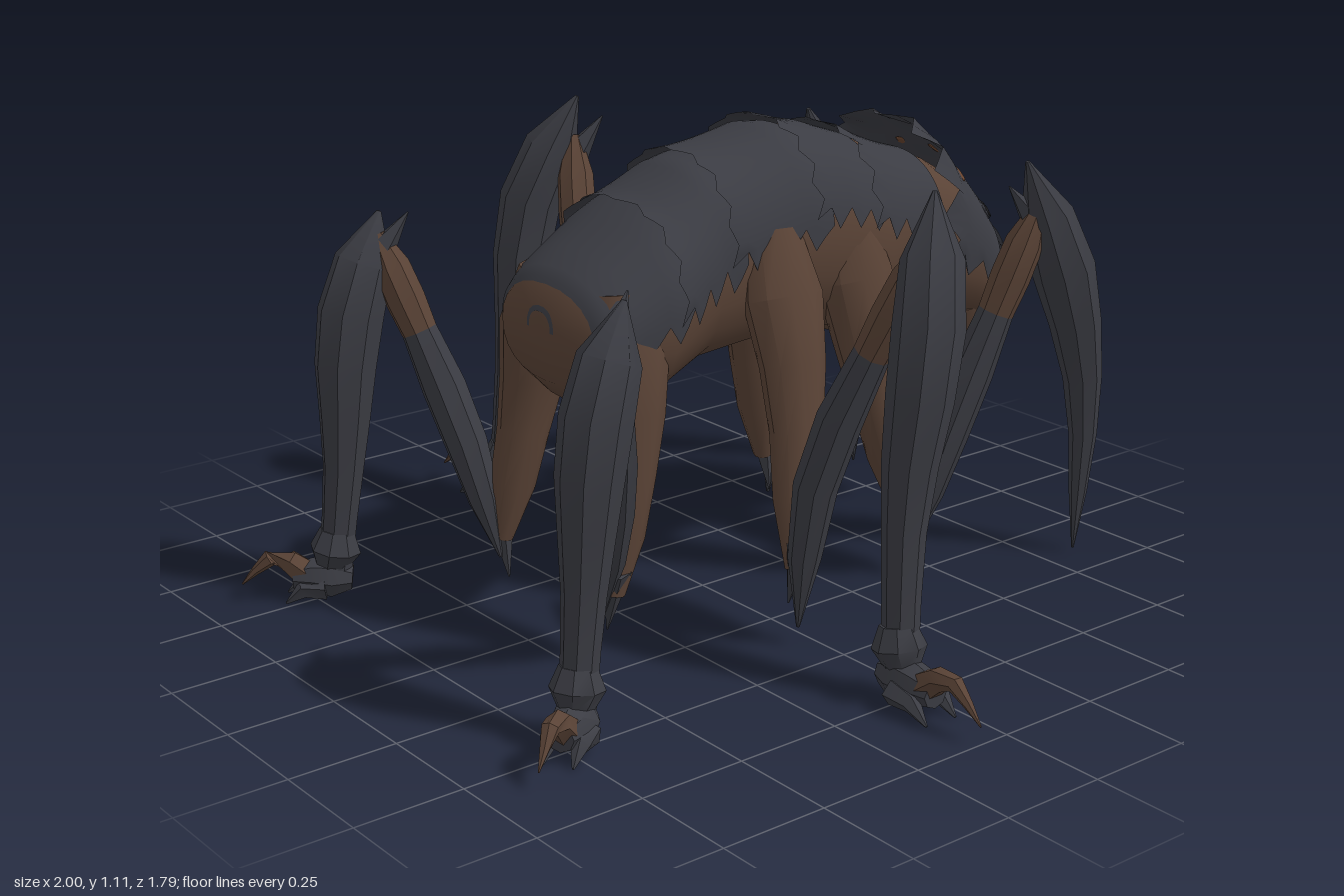
import * as THREE from 'three';
import { toCreasedNormals } from 'three/addons/utils/BufferGeometryUtils.js';

const V = (x, y, z) => new THREE.Vector3(x, y, z);
const Z = V(0, 0, 1);

export function createModel() {
  const root = new THREE.Group();
  const paint = (name, color, side = THREE.FrontSide) => {
    const m = new THREE.MeshStandardMaterial({ color, side });
    m.name = name;
    return m;
  };
  const shell = paint('charcoal shell', 0x3b3c43, THREE.DoubleSide);
  const hide = paint('brown hide', 0x5a4336);
  const eyeBlack = paint('eye black', 0x1d1d21);
  const rust = paint('rust patch', 0x69442f);

  function add(parent, name, geo, mat) {
    const mesh = new THREE.Mesh(geo, mat);
    mesh.name = name;
    parent.add(mesh);
    return mesh;
  }

  function build(pos, idx, crease) {
    const g = new THREE.BufferGeometry();
    g.setAttribute('position', new THREE.Float32BufferAttribute(pos.flatMap(p => [p.x, p.y, p.z]), 3));
    g.setIndex(idx);
    return toCreasedNormals(g, crease);
  }

  // Closed skin over equal rings that run counterclockwise about the path
  function loft(rings, crease = 0.7) {
    const n = rings[0].length, idx = [];
    for (let i = 0; i < rings.length - 1; i++) {
      for (let j = 0; j < n; j++) {
        const a = i * n + j, b = i * n + (j + 1) % n;
        idx.push(a, b, b + n, a, b + n, a + n);
      }
    }
    const last = (rings.length - 1) * n;
    for (let j = 1; j < n - 1; j++) idx.push(0, j + 1, j, last, last + j, last + j + 1);
    return build(rings.flat(), idx, crease);
  }

  // Limb along a smooth path, with radii spread evenly from start to end;
  // deep widens it along z
  function limb(points, radii, { sides = 8, deep = 1, from = 0, to = 1 } = {}) {
    const curve = new THREE.CatmullRomCurve3(points);
    return loft(radii.map((r, i) => {
      const k = from + (to - from) * i / (radii.length - 1);
      const c = curve.getPointAt(k), t = curve.getTangentAt(k);
      const n = Z.clone().addScaledVector(t, -t.z).normalize();
      const b = t.clone().cross(n);
      const depth = r * (1 + (deep - 1) * (1 - k));
      return Array.from({ length: sides }, (_, j) => {
        const a = j / sides * Math.PI * 2;
        return c.clone().addScaledVector(n, Math.cos(a) * depth).addScaledVector(b, Math.sin(a) * r);
      });
    }));
  }

  // Body sections: z, bottom, top, half width
  const sections = [
    [0.452, 0.70, 0.76, 0.03], [0.44, 0.61, 0.82, 0.16], [0.38, 0.55, 0.865, 0.21], [0.25, 0.55, 0.95, 0.232],
    [0.1, 0.60, 1.04, 0.2], [-0.15, 0.62, 1.095, 0.215], [-0.28, 0.60, 1.08, 0.22],
    [-0.4, 0.57, 1.04, 0.205], [-0.52, 0.58, 1.0, 0.18], [-0.62, 0.57, 0.97, 0.188], [-0.72, 0.55, 0.91, 0.178],
    [-0.8, 0.53, 0.82, 0.155], [-0.85, 0.52, 0.73, 0.12], [-0.885, 0.57, 0.61, 0.02],
  ];
  // Point on the body; a is the angle from the top, off the height above the skin
  function skin(z, a, off = 0) {
    let i = 0;
    while (i < sections.length - 2 && z < sections[i + 1][0]) i++;
    const s = sections[i], e = sections[i + 1];
    const k = THREE.MathUtils.clamp((z - s[0]) / (e[0] - s[0]), 0, 1);
    const [bottom, top, w] = [1, 2, 3].map(c => s[c] + (e[c] - s[c]) * k);
    const bend = v => Math.sign(v) * Math.abs(v) ** 0.88;
    return V(bend(Math.sin(a)) * (w + off), (bottom + top) / 2 + bend(Math.cos(a)) * ((top - bottom) / 2 + off), z);
  }
  const ring = z => Array.from({ length: 24 }, (_, j) => skin(z, j / 24 * Math.PI * 2));
  add(root, 'body', loft(sections.map(s => ring(s[0])), 1), hide);

  // Overlapping back plates with raised, toothed trailing edges
  function plate(name, z0, z1, phi, lift, tooth) {
    const nu = 10, nv = 32, pos = [], idx = [];
    for (let i = 0; i <= nu; i++) {
      for (let j = 0; j <= nv; j++) {
        const u = i / nu, v = j / nv * 2 - 1;
        const a = v * (phi + (Math.abs(v) === 1 ? 0.09 * (i % 3 - 1) : 0));
        const p = skin(z0 + (z1 - z0) * u, a, 0.009 + lift * u ** 3 * (1 - v * v * 0.6));
        if (i === nu) p.z += tooth * Math.abs((j % 4) / 2 - 1);
        pos.push(p);
      }
    }
    for (let i = 0; i < nu; i++) {
      for (let j = 0; j < nv; j++) {
        const a = i * (nv + 1) + j, b = a + nv + 1;
        idx.push(a, b, a + 1, b, b + 1, a + 1);
      }
    }
    add(root, name, build(pos, idx, 0.8), shell);
  }
  plate('rumpPlate', 0.2, 0.452, 1.62, 0, 0);
  plate('loinPlate', 0.04, 0.23, 1.6, 0.016, 0.02);
  plate('middlePlate', -0.2, 0.07, 1.5, 0.018, 0.02);
  plate('shoulderPlate', -0.38, -0.17, 1.35, 0.02, 0.025);
  plate('neckPlate', -0.58, -0.35, 1.4, 0.02, 0.025);
  plate('headPlate', -0.885, -0.58, 1.7, 0.085, 0.06);

  // Flat details laid on the skin
  function decal(name, z, a, off, sx, sy, mat, tilt = 0) {
    const p = skin(z, a, off);
    const alongBody = skin(z + 0.01, a).sub(skin(z - 0.01, a));
    const normal = alongBody.cross(skin(z, a + 0.02).sub(skin(z, a - 0.02))).normalize();
    const m = add(root, name, new THREE.SphereGeometry(1, 8, 4), mat);
    m.scale.set(sx, sy, 0.0045);
    m.position.copy(p);
    m.lookAt(p.clone().add(normal));
    m.rotateZ(tilt);
  }
  for (const s of [-1, 1]) {
    for (const [z, a, size] of [[-0.77, 0.75, 0.034], [-0.825, 0.95, 0.026], [-0.855, 0.75, 0.02]]) {
      decal('brow', z + 0.012, s * a, 0.015, size * 1.5, size * 0.75, shell, s * 0.4);
      decal('eye', z, s * a, 0.02, size, size * 0.42, eyeBlack, s * 0.4);
    }
    decal('crestPatch', -0.67, s * 0.22, 0.043, 0.015, 0.03, rust);
    decal('crestPatch', -0.64, s * 0.75, 0.045, 0.014, 0.026, rust);
  }

  // Tapering lower jaw, stacked upwards, with a row of teeth
  const jaw = [[0.38, -0.86, -0.83, 0.02], [0.43, -0.88, -0.77, 0.05], [0.5, -0.888, -0.68, 0.09], [0.58, -0.875, -0.61, 0.12]];
  add(root, 'jaw', loft(jaw.map(([y, front, back, w]) => Array.from({ length: 12 }, (_, j) => {
    const a = j / 12 * Math.PI * 2;
    return V(Math.sin(a) * w, y, (front + back) / 2 + Math.cos(a) * (back - front) / 2);
  }))), hide);
  for (let i = -3; i <= 3; i++) {
    const a = i * 0.38;
    const tooth = add(root, 'tooth', new THREE.ConeGeometry(0.014, 0.05, 4), i % 2 ? shell : rust);
    tooth.position.set(Math.sin(a) * 0.1, 0.52, -0.78 - Math.cos(a) * 0.1);
    tooth.rotation.x = Math.PI;
  }

  // Radii shared by the limbs
  const thighRadii = [0.05, 0.075, 0.065, 0.055, 0.05, 0.025];
  const shinRadii = [0.004, 0.038, 0.05, 0.052, 0.042];
  const legRadii = [0.005, 0.068, 0.077, 0.072, 0.06, 0.048, 0.042, 0.04];
  const bladeRadii = [0.005, 0.062, 0.075, 0.062, 0.047, 0.034, 0.022, 0.003];

  // Mirrored pair of legs; claw is the reach of the foot in x and z, if it has one
  function legPair(name, thigh, shin, lower, claw) {
    for (const s of [-1, 1]) {
      const g = new THREE.Group();
      g.name = (s > 0 ? 'left ' : 'right ') + name;
      root.add(g);
      const part = (label, pts, radii, mat, options) =>
        add(g, label, limb(pts.map(p => V(p.x * s, p.y, p.z)), radii, options), mat);
      part('thigh', thigh, thighRadii, hide, { sides: 10, deep: 1.4 });
      part('shin', shin, shinRadii, shell, { to: 0.7 });
      part('upperJoint', shin, [0.042, 0.047, 0.045, 0.02], hide, { from: 0.7 });
      part(claw ? 'lowerLeg' : 'blade', lower, claw ? legRadii : bladeRadii, shell);

      // Spikes behind the upper joint and under the knee
      const elbow = shin[2], knee = thigh[2];
      const back = Math.sign(lower[0].z - lower[1].z);
      const spike = (p, q) => part('spike', [p, q], [0.035, 0.002], shell, { sides: 5 });
      spike(elbow.clone().add(V(-0.01, -0.04, 0)), elbow.clone().add(V(-0.04, 0.05, back * 0.06)));
      spike(knee.clone().add(V(0.01, 0.06, 0)), knee.clone().add(V(-0.025, -0.09, 0)));
      if (!claw) continue;

      // Ankle cuff, foot pad, and hooked claws
      const f = lower[3].clone().add(V(claw.x * 0.06, 0, claw.z * 0.06));
      const at = (k, y, side = 0) => V(f.x + claw.x * k - claw.z * side, y, f.z + claw.z * k + claw.x * side);
      part('ankleCuff', [at(-0.1, 0.18), at(-0.06, 0.12), at(0, 0.085)], [0.04, 0.06, 0.035], shell);
      part('foot', [at(-0.25, 0.06), at(0, 0.065), at(0.42, 0.065)], [0.03, 0.052, 0.045, 0.03], shell);
      part('claw', [at(0.3, 0.075), at(0.6, 0.118), at(1, 0.05)], [0.035, 0.028, 0.02, 0.011, 0.002], hide, { sides: 6 });
      for (const side of [-0.16, 0.16]) {
        part('toe', [at(0.05, 0.05, side), at(0.3, 0.045, side), at(0.5, 0.012, side)], [0.03, 0.022, 0.003], shell, { sides: 5 });
      }
    }
  }
  legPair('hindLeg',
    [V(0.14, 0.82, 0.33), V(0.19, 0.52, 0.35), V(0.215, 0.17, 0.42)],
    [V(0.2, 0.13, 0.435), V(0.28, 0.4, 0.47), V(0.45, 0.87, 0.58)],
    [V(0.46, 0.92, 0.565), V(0.47, 0.67, 0.65), V(0.47, 0.35, 0.68), V(0.48, 0.09, 0.71)],
    V(0.113, 0, 0.17));
  legPair('middleLeg',
    [V(0.17, 0.9, -0.06), V(0.275, 0.58, -0.04), V(0.37, 0.18, 0.03)],
    [V(0.39, 0.05, 0.04), V(0.43, 0.42, 0.02), V(0.635, 0.97, -0.1)],
    [V(0.63, 1.07, -0.11), V(0.715, 0.8, -0.02), V(0.715, 0.45, 0.03), V(0.74, 0.09, 0.06)],
    V(0.245, 0, 0.015));
  legPair('frontArm',
    [V(0.15, 0.9, -0.29), V(0.215, 0.52, -0.33), V(0.255, 0.18, -0.4)],
    [V(0.26, 0.07, -0.42), V(0.3, 0.38, -0.505), V(0.39, 0.9, -0.68)],
    [V(0.38, 1.01, -0.645), V(0.397, 0.75, -0.76), V(0.4, 0.42, -0.85), V(0.4, 0.02, -0.84)]);
  return root;
}
